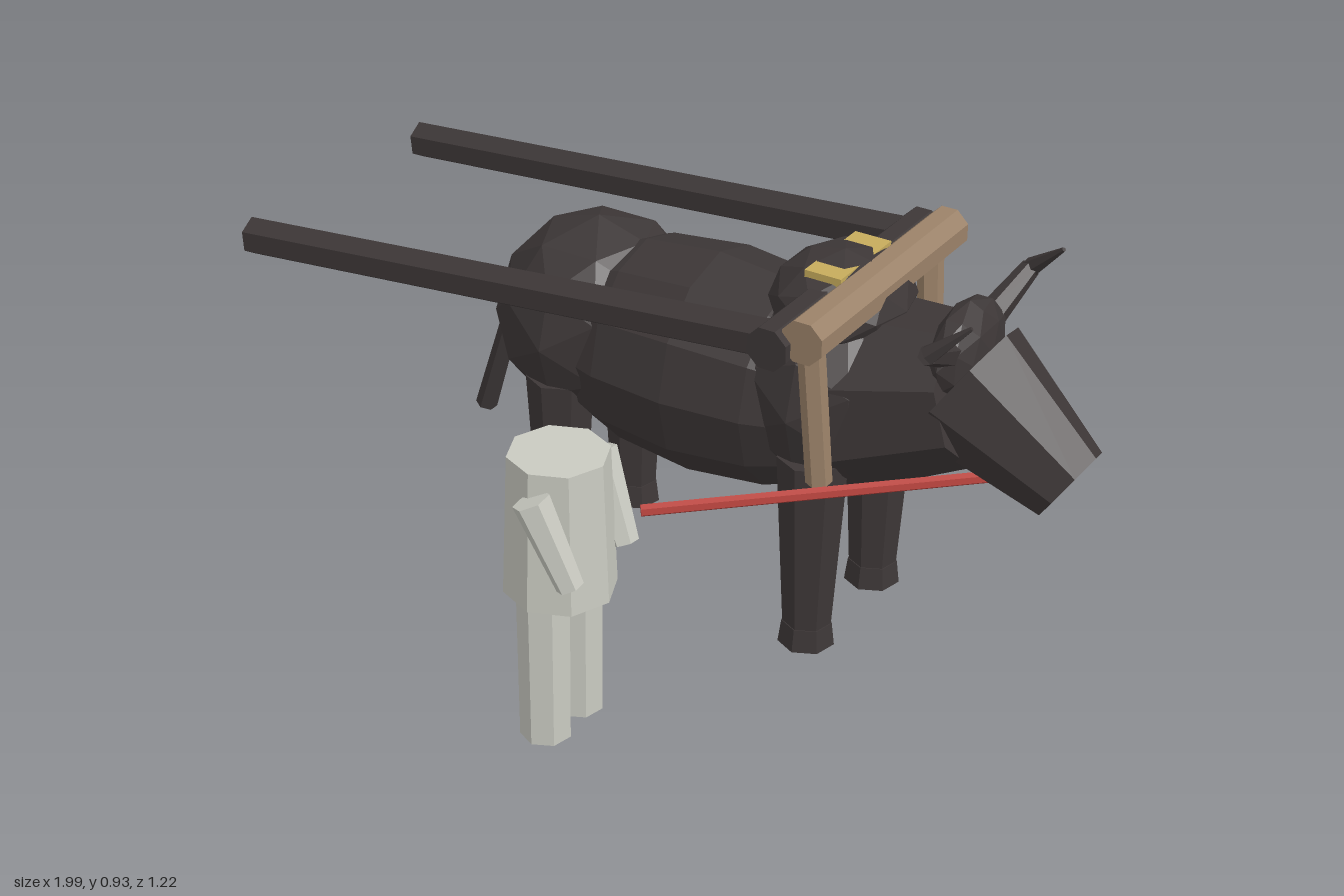
import * as THREE from 'three';

const paint = (name, color) => {
  const m = new THREE.MeshStandardMaterial({ color, flatShading: true });
  m.name = name;
  return m;
};

export function createModel() {
  const hide = paint('dark hide', 0x3d3737);
  const wood = paint('brown wood', 0x9b8269);
  const cloth = paint('pale cloth', 0xc9cac1);
  const straw = paint('straw pad', 0xc6ab5c);
  const rope = paint('red rope', 0xb9433d);
  const root = new THREE.Group();
  const UP = new THREE.Vector3(0, 1, 0);
  const Z = -0.25; // centre line of the ox

  const group = (name) => {
    const g = new THREE.Group();
    g.name = name;
    root.add(g);
    return g;
  };
  const add = (parent, name, geometry, material) => {
    const m = new THREE.Mesh(geometry, material);
    m.name = name;
    parent.add(m);
    return m;
  };
  // Tapered prism running from point a to point b
  const rod = (parent, name, a, b, ra, rb, sides, material, turn = 0) => {
    const p = new THREE.Vector3(...a), q = new THREE.Vector3(...b);
    const d = q.clone().sub(p);
    const g = new THREE.CylinderGeometry(rb, ra, d.length(), sides);
    g.rotateY(turn);
    const m = add(parent, name, g, material);
    m.quaternion.setFromUnitVectors(UP, d.normalize());
    m.position.copy(p).add(q).multiplyScalar(0.5);
    return m;
  };
  const blob = (parent, name, c, r, geometry) => {
    const m = add(parent, name, geometry || new THREE.IcosahedronGeometry(1, 1), hide);
    m.position.set(...c);
    m.scale.set(...r);
    return m;
  };

  // Ox body
  const ox = group('ox');
  const barrel = new THREE.SphereGeometry(1, 12, 8);
  barrel.rotateZ(Math.PI / 2);
  blob(ox, 'barrel', [0.07, 0.55, Z], [0.5, 0.265, 0.25], barrel);
  blob(ox, 'rump', [-0.25, 0.58, Z], [0.235, 0.24, 0.245]);
  blob(ox, 'shoulders', [0.38, 0.59, Z], [0.25, 0.24, 0.235]);
  blob(ox, 'hump', [0.38, 0.8, Z], [0.155, 0.107, 0.18]);
  rod(ox, 'neck', [0.45, 0.59, Z], [0.7, 0.66, Z], 0.22, 0.165, 8, hide, Math.PI / 8);
  blob(ox, 'poll', [0.68, 0.76, Z], [0.06, 0.108, 0.14]);
  rod(ox, 'head', [0.68, 0.677, Z], [0.94, 0.507, Z], 0.16, 0.094, 8, hide);
  rod(ox, 'tail', [-0.46, 0.62, Z], [-0.58, 0.23, Z], 0.02, 0.026, 6, hide);

  for (const s of [-1, 1]) {
    // Horns bend outward, then up and forward
    const elbow = [0.705, 0.852, Z + s * 0.235];
    rod(ox, 'hornBase', [0.68, 0.78, Z + s * 0.08], elbow, 0.034, 0.022, 6, hide);
    rod(ox, 'hornTip', elbow, [0.788, 0.927, Z + s * 0.212], 0.022, 0.005, 6, hide);
    // Legs and hooves
    for (const x of [-0.255, 0.405]) {
      const z = Z + s * 0.152;
      rod(ox, 'leg', [x, 0.04, z], [x, 0.48, z], 0.055, 0.08, 7, hide);
      rod(ox, 'hoof', [x, 0, z], [x, 0.055, z], 0.065, 0.058, 7, hide);
    }
  }

  // Harness: yoke, neck bars, crossbar, shafts and pad
  const harness = group('harness');
  rod(harness, 'yoke', [0.462, 0.847, Z - 0.323], [0.462, 0.847, Z + 0.323], 0.051, 0.051, 8, wood, Math.PI / 8);
  rod(harness, 'crossbar', [0.39, 0.82, Z - 0.342], [0.39, 0.82, Z + 0.342], 0.05, 0.05, 8, hide, Math.PI / 8);
  for (const s of [-1, 1]) {
    rod(harness, 'neckBar', [0.475, 0.485, Z + s * 0.25], [0.45, 0.83, Z + s * 0.264], 0.029, 0.03, 6, wood);
    rod(harness, 'shaft', [-0.996, 0.7, Z + s * 0.322], [0.4, 0.82, Z + s * 0.29], 0.046, 0.046, 6, hide, Math.PI / 6);
  }
  const pad = add(harness, 'strawPad', new THREE.BoxGeometry(0.088, 0.024, 0.22), straw);
  pad.position.set(0.388, 0.881, Z);

  // Lead rope
  rod(root, 'leadRope', [0.2, 0.46, 0.27], [0.79, 0.502, -0.2], 0.014, 0.014, 6, rope);

  // Driver
  const driver = group('driver');
  const dx = 0.115, dz = 0.447;
  rod(driver, 'torso', [dx, 0.34, dz], [dx, 0.665, dz], 0.122, 0.109, 8, cloth);
  for (const s of [-1, 1]) {
    rod(driver, 'driverLeg', [dx, 0, dz + s * 0.061], [dx, 0.345, dz + s * 0.061], 0.056, 0.058, 7, cloth);
    rod(driver, 'arm', [0.21, 0.425, dz + s * 0.102], [0.13, 0.615, dz + s * 0.122], 0.03, 0.041, 6, cloth);
  }
  return root;
}
